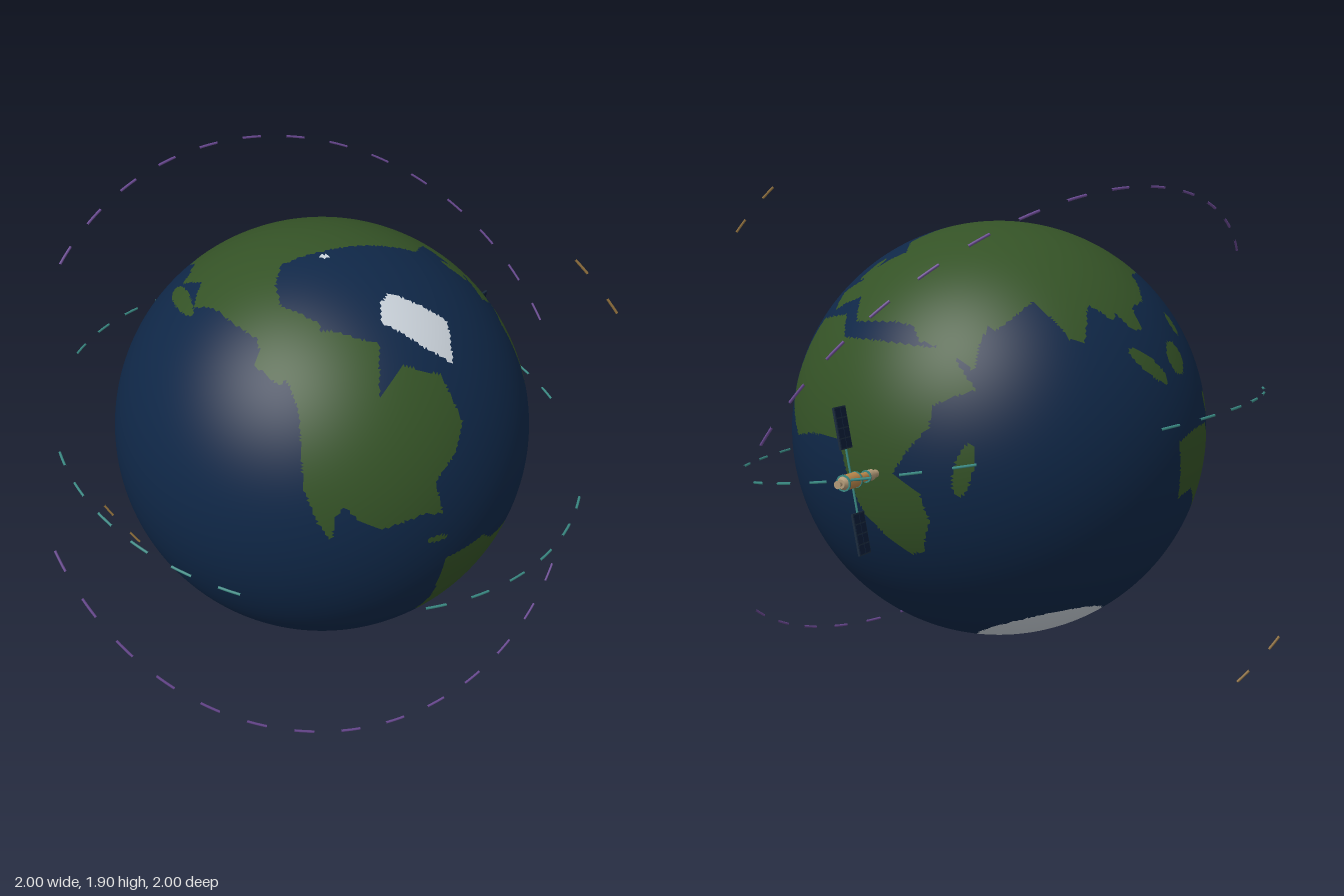
import * as THREE from 'three';
import { mergeGeometries } from 'three/addons/utils/BufferGeometryUtils.js';

const R = 0.817, CENTRE_Y = 0.957;
const rad = THREE.MathUtils.degToRad;
const mat = (name, color) => Object.assign(new THREE.MeshStandardMaterial({ color }), { name });

// A chart is a flat map laid onto the globe from an azimuth and elevation.
// Map positions are x right, y down, in percent of the globe's radius.
function chart(azimuth, elevation) {
  const turn = new THREE.Euler(-rad(elevation), rad(azimuth), 0, 'YXZ');
  const [right, down, out] = [[1, 0, 0], [0, -1, 0], [0, 0, 1]].map((d) => new THREE.Vector3(...d).applyEuler(turn));
  return { right, down, out };
}

function insideOutline(p, x, y) {
  let hit = false;
  for (let i = 0, j = p.length - 2; i < p.length; j = i, i += 2) {
    if ((p[i + 1] > y) !== (p[j + 1] > y) &&
      x < (p[j] - p[i]) * (y - p[i + 1]) / (p[j + 1] - p[i + 1]) + p[i]) hit = !hit;
  }
  return hit;
}

// Every patch of land or ice: an outline, or an oval for islands and seas
function drawMap() {
  const patches = [];
  const paint = (map, kind, covers) => patches.push((dir) => dir.dot(map.out) > 0.02 &&
    covers(100 * dir.dot(map.right), 100 * dir.dot(map.down)) && kind);
  const area = (map, kind, outline) => paint(map, kind, (x, y) => insideOutline(outline, x, y));
  const oval = (map, kind, cx, cy, rx, ry, tilt = 0) => {
    const c = Math.cos(rad(tilt)), s = Math.sin(rad(tilt));
    paint(map, kind, (x, y) =>
      Math.hypot(((x - cx) * c + (y - cy) * s) / rx, ((y - cy) * c - (x - cx) * s) / ry) < 1);
  };
  const west = chart(0, 0), east = chart(90, 0), north = chart(0, 90), far = chart(215, 25), south = chart(140, -30);

  // north-western continent
  area(west, 'land', [-51, -82, -31, -78, -28, -71, -18, -66, -14, -57, -13, -28, -7, -12, -1, -3, 0, -14, 4, -20,
    11, -12, 21, -7, 39, -10, 48, -7, 44, -23, 54, -33, 57, -43, 48, -62, 31, -69, 20, -60, 21, -77, 1, -82,
    -22, -82, -22, -90, -33, -93]);
  oval(west, 'land', 46, 5.5, 4.5, 1.6, 8);
  // south-western continent
  area(east, 'land', [-84, 20, -69, 19, -61, 26, -20, 33, -19, 44, -25, 73, -14, 97, -42, 82, -67, 62, -80, 36]);
  // great southern continent and its eastern peninsula
  area(east, 'land', [-3, -55, 24, -59, 34, -50, 56, -50, 78, -48, 89, -32, 83, -25, 84, -16, 75, 5, 82, 13, 82, 25,
    75, 40, 70, 42, 60, 25, 52, -7, 32, -7, 14, -3, -4, -16, -10, -26, -7, -44]);
  // western end of the northern landmass
  area(east, 'land', [-2, -67, 5, -71, 18, -78, 34, -82, 24, -87, 32, -93, 48, -90, 68, -73, 80, -54, 54, -58,
    35, -57, 24, -67, 7, -60]);
  oval(east, 'land', 6, -78, 3, 5);
  // great northern landmass
  area(north, 'land', [-43, -58, -32, -75, -22, -73, -9, -86, -4, -77, 20, -67, 30, -67, 25, -76, 33, -86, 53, -68,
    58, -39, 69, -16, 66, -6, 48, -16, 43, -1, 20, 7, -19, 21, -22, 33, -20, 44, -3, 55, -6, 66, -22, 73, -32, 64,
    -26, 55, -58, 24, -55, 10, -64, -1, -57, -12, -61, -24, -53, -39]);
  oval(north, 'ocean', 36, -49, 8, 3, 28);
  oval(north, 'ocean', 36, -61, 2.5, 6, -35);
  // northern ice
  area(north, 'ice', [23, 43, 27, 37, 53, 39, 54, 56, 40, 56, 23, 52]);
  oval(north, 'ice', 0, 18.5, 2.3, 1.4);
  // southern coast of the great landmass
  area(far, 'land', [-70, -42, -64, -28, -46, -36, -41, -15, -36, -12, -20, -36, -9, -14, -2, -12, 0, -24, 12, -27,
    21, -39, 20, -53, 44, -53, 46, -64, 4, -86, -72, -64]);
  // island continent and archipelago
  area(far, 'land', [7, 39, 26, 34, 44, 32, 50, 36, 57, 34, 63, 47, 61, 59, 48, 69, 26, 59, 12, 62]);
  oval(far, 'land', 17, 2, 7, 8);
  oval(far, 'land', -6, 4, 13, 4, 42);
  oval(far, 'land', 59, 26, 16, 5, 28);
  oval(far, 'land', 30, -15, 3, 6, -15);
  oval(far, 'land', 59, -57, 4, 9, 35);
  // southern ice cap and the islands near it
  oval(south, 'ice', 32, 64, 31, 20, -28);
  oval(south, 'ice', -7, 76, 5, 2.8);
  oval(south, 'land', 29, -46, 4, 10, 15);
  return patches;
}

// Globe: one fine sphere, its faces shared out between ocean, land and ice
function buildGlobe(materials) {
  const globe = new THREE.Group();
  globe.name = 'globe';
  const patches = drawMap();
  const pos = new THREE.IcosahedronGeometry(1, 76).attributes.position;
  const faces = { ocean: [], land: [], ice: [] };
  const v = [0, 1, 2].map(() => new THREE.Vector3()), mid = new THREE.Vector3();
  for (let i = 0; i < pos.count; i += 3) {
    mid.set(0, 0, 0);
    v.forEach((p, k) => mid.add(p.fromBufferAttribute(pos, i + k)));
    mid.normalize();
    const kind = patches.reduce((last, patch) => patch(mid) || last, 'ocean');
    v.forEach((p) => faces[kind].push(p.x, p.y, p.z));
  }
  for (const [name, list] of Object.entries(faces)) {
    const g = new THREE.BufferGeometry();
    g.setAttribute('normal', new THREE.Float32BufferAttribute(list, 3));
    g.setAttribute('position', new THREE.Float32BufferAttribute(list.map((n) => n * R), 3));
    const mesh = new THREE.Mesh(g, materials[name]);
    mesh.name = name;
    globe.add(mesh);
  }
  return globe;
}

// Dashed orbit: arcs around a tilted axis, kept only where they fit the display box
function buildOrbit(name, material, radius, axis, start, count, duty) {
  const n = axis.normalize(), u = start.projectOnPlane(n).normalize();
  const basis = new THREE.Matrix4().makeBasis(u, n.clone().cross(u), n);
  const step = Math.PI * 2 / count, arc = step * duty, dashes = [];
  for (let k = 0; k < count; k++) {
    const from = k * step - arc / 2;
    const fits = [from, from + arc].every((t) => {
      const p = new THREE.Vector3(Math.cos(t) * radius, Math.sin(t) * radius, 0).applyMatrix4(basis);
      return Math.abs(p.x) < 1 && Math.abs(p.z) < 1 && Math.abs(p.y) < 0.958;
    });
    if (fits) dashes.push(new THREE.TorusGeometry(radius, 0.005, 6, 4, arc).rotateZ(from));
  }
  const mesh = new THREE.Mesh(mergeGeometries(dashes).applyMatrix4(basis), material);
  mesh.name = name;
  return mesh;
}

// Satellite: local z points away from the globe, local y runs along the panels
function buildSatellite(m) {
  const sat = new THREE.Group();
  sat.name = 'satellite';
  const add = (name, geometry, material, y = 0, z = 0) => {
    const mesh = new THREE.Mesh(geometry, material);
    mesh.name = name;
    mesh.position.set(0, y, z);
    sat.add(mesh);
  };
  const drum = (name, material, z, length, outer, inner = outer) =>
    add(name, new THREE.CylinderGeometry(outer, inner, length, 16).rotateX(Math.PI / 2), material, 0, z);
  drum('body', m.gold, 0.012, 0.075, 0.027);
  drum('bodyShoulder', m.gold, -0.035, 0.02, 0.027, 0.018);
  drum('neck', m.gold, -0.065, 0.04, 0.016);
  drum('sensorBarrel', m.tan, -0.1, 0.035, 0.02);
  drum('sensorTip', m.tan, -0.13, 0.028, 0.014);
  drum('rearCap', m.tan, 0.056, 0.014, 0.016, 0.024);
  drum('rearNozzle', m.tan, 0.073, 0.02, 0.014, 0.007);
  drum('frontBand', m.teal, -0.022, 0.006, 0.029);
  drum('rearBand', m.teal, 0.047, 0.006, 0.029);
  drum('sensorBand', m.teal, -0.084, 0.005, 0.022);
  add('panelBoom', new THREE.CylinderGeometry(0.004, 0.004, 0.22, 8), m.teal);
  add('crossBoom', new THREE.CylinderGeometry(0.003, 0.003, 0.1, 8).rotateZ(Math.PI / 2), m.teal);
  for (const side of [-1, 1]) {
    add('solarPanel', new THREE.BoxGeometry(0.008, 0.145, 0.066), m.panel, side * 0.182);
    for (let row = 0; row < 4; row++) for (const col of [-1, 1]) {
      add('solarCell', new THREE.BoxGeometry(0.011, 0.031, 0.028), m.cell,
        side * 0.182 + (row - 1.5) * 0.035, col * 0.0155);
    }
  }
  const out = new THREE.Vector3(0.69, 0, -0.724).normalize(), tilt = rad(11);
  const up = new THREE.Vector3(-out.z * Math.sin(tilt), Math.cos(tilt), out.x * Math.sin(tilt));
  sat.quaternion.setFromRotationMatrix(new THREE.Matrix4().makeBasis(up.clone().cross(out), up, out));
  sat.position.set(0.70, -0.035, -0.725);
  return sat;
}

export function createModel() {
  const m = {
    ocean: mat('ocean', 0x0f2747), land: mat('land', 0x345226), ice: mat('ice', 0xc8d0d8),
    teal: mat('teal', 0x3a8a84), purple: mat('purple', 0x6b4a94), brown: mat('brown', 0x8f6f3c),
    gold: mat('gold', 0xb8864a), tan: mat('tan', 0xb39a78),
    panel: mat('panelFrame', 0x1a2a3c), cell: mat('solarCell', 0x0d1c36),
  };
  const vec = (x, y, z) => new THREE.Vector3(x, y, z);
  const model = new THREE.Group();
  model.name = 'globeWithOrbits';
  model.add(
    buildGlobe(m),
    buildOrbit('innerOrbit', m.teal, 1.05, vec(0.14, 1, 0.1), vec(0.9, -0.08, -0.52), 36, 0.44),
    buildOrbit('middleOrbit', m.purple, 1.2, vec(0.399, 0.616, 0.68), vec(-0.42, 0.94, -0.605), 38, 0.42),
    buildOrbit('outerOrbit', m.brown, 1.36, vec(0.413, 0.146, -0.899), vec(0.84, 0.925, 0.535), 48, 0.36),
    buildSatellite(m),
  );
  for (const part of model.children) part.position.y += CENTRE_Y;
  return model;
}
